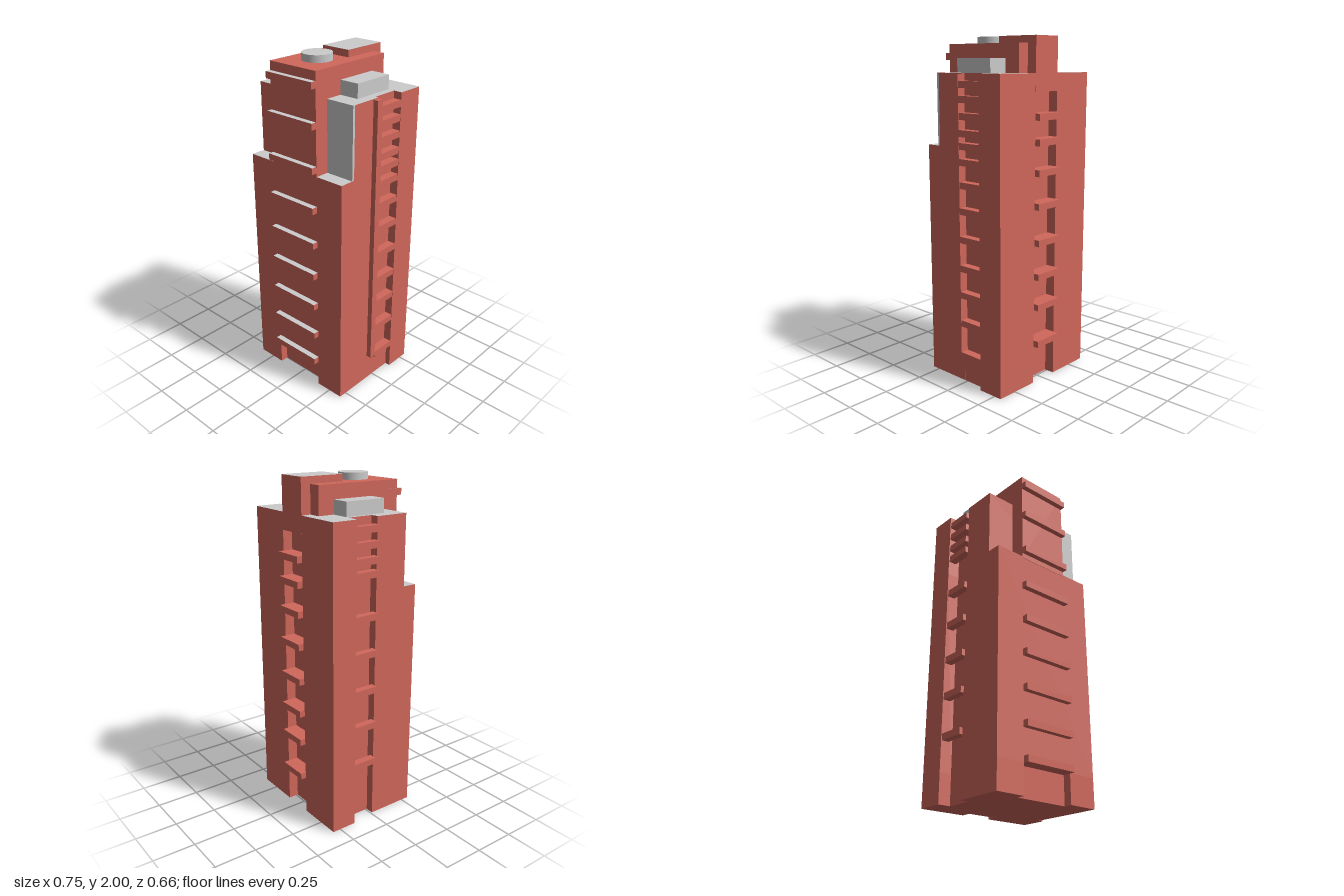
import * as THREE from 'three';

const red = new THREE.MeshStandardMaterial({ color: 0xd0675b, flatShading: true });
const grey = new THREE.MeshStandardMaterial({ color: 0xcccccc, flatShading: true });

export function createModel() {
  const model = new THREE.Group();

  const add = (name, geometry, material) => {
    const mesh = new THREE.Mesh(geometry, material);
    mesh.name = name;
    model.add(mesh);
    return mesh;
  };

  // Box given by its limits; the top face may have its own material
  const box = (name, [x0, x1], [y0, y1], [z0, z1], side = red, top = side) => {
    const g = new THREE.BoxGeometry(x1 - x0, y1 - y0, z1 - z0);
    g.translate((x0 + x1) / 2, (y0 + y1) / 2, (z0 + z1) / 2);
    return add(name, g, [side, side, top, side, side, side]);
  };

  // Upright prism over a plan of [x, z] corners
  const prism = (name, plan, y0, y1, cap) => {
    const shape = new THREE.Shape(plan.map(([x, z]) => new THREE.Vector2(x, -z)));
    const g = new THREE.ExtrudeGeometry(shape, { depth: y1 - y0, bevelEnabled: false });
    g.rotateX(-Math.PI / 2);
    g.translate(0, y0, 0);
    return add(name, g, [cap, red]);
  };

  // Floor plan with a back slot, a slot on each side, and a variable front
  const plan = (frontZ, leftSlotX, entry = []) => [
    [-0.375, -0.3], [-0.095, -0.3], [-0.095, -0.24], [0.09, -0.24], [0.09, -0.3],
    [0.37, -0.298], [0.37, -0.14], [leftSlotX, -0.14], [leftSlotX, 0.015], [0.34, 0.016],
    [0.34, frontZ], ...entry, [-0.35, frontZ],
    [-0.35, 0.01], [-0.3, 0.01], [-0.3, -0.145], [-0.375, -0.145],
  ];

  // Main volumes: base with recessed entrance, shaft, stepped-back upper floors
  const entrance = [[0.16, 0.298], [0.16, 0.25], [-0.17, 0.25], [-0.17, 0.298]];
  prism('base', plan(0.298, 0.339, entrance), 0, 0.17, red);
  prism('shaft', plan(0.298, 0.32), 0.17, 1.39, grey);
  prism('upperFloors', plan(0.212, 0.32), 1.39, 1.8, grey);
  box('setbackWall', [0.16, 0.34], [1.39, 1.8], [0.2, 0.215], grey);

  // Roof structures
  box('centralTower', [-0.17, 0.162], [1.38, 1.96], [-0.242, 0.3]);
  box('liftCore', [-0.095, 0.09], [1.7, 2], [-0.301, -0.03], red, grey);
  box('roofPlantRoom', [-0.28, 0.28], [1.79, 1.88], [-0.143, 0.112], grey);
  const tank = new THREE.CylinderGeometry(0.085, 0.085, 0.05, 48);
  tank.translate(-0.004, 1.975, 0.114);
  add('waterTank', tank, new THREE.MeshStandardMaterial({ color: 0xcccccc }));

  // Rows of balcony slabs, one list of heights per facade
  const slabs = (name, heights, xs, zs, top = red) =>
    heights.forEach((y) => box(name, xs, [y - 0.019, y + 0.019], zs, red, top));

  slabs('frontBalcony', [0.186, 0.375, 0.575, 0.78, 0.98, 1.195, 1.43, 1.675, 1.89],
    [-0.171, 0.161], [0.24, 0.332], grey);
  slabs('backBalcony', [0.247, 0.472, 0.655, 0.855, 1.065, 1.255, 1.425, 1.565],
    [-0.095, 0.09], [-0.333, -0.235]);
  slabs('rightBalcony', [0.365, 0.6, 0.82, 1.04, 1.255, 1.495, 1.57, 1.655, 1.74],
    [-0.37, -0.325], [-0.145, 0.012]);
  slabs('leftBalcony', [0.37, 0.542, 0.702, 0.872, 1.037, 1.185, 1.315, 1.404, 1.475, 1.568, 1.66, 1.74],
    [0.318, 0.369], [-0.14, 0.016]);

  // Frame around the left balconies
  box('leftFrameSill', [0.318, 0.37], [0.152, 0.19], [-0.14, 0.016]);
  box('leftFrameFin', [0.335, 0.37], [0.168, 1.795], [0.015, 0.055]);

  return model;
}
